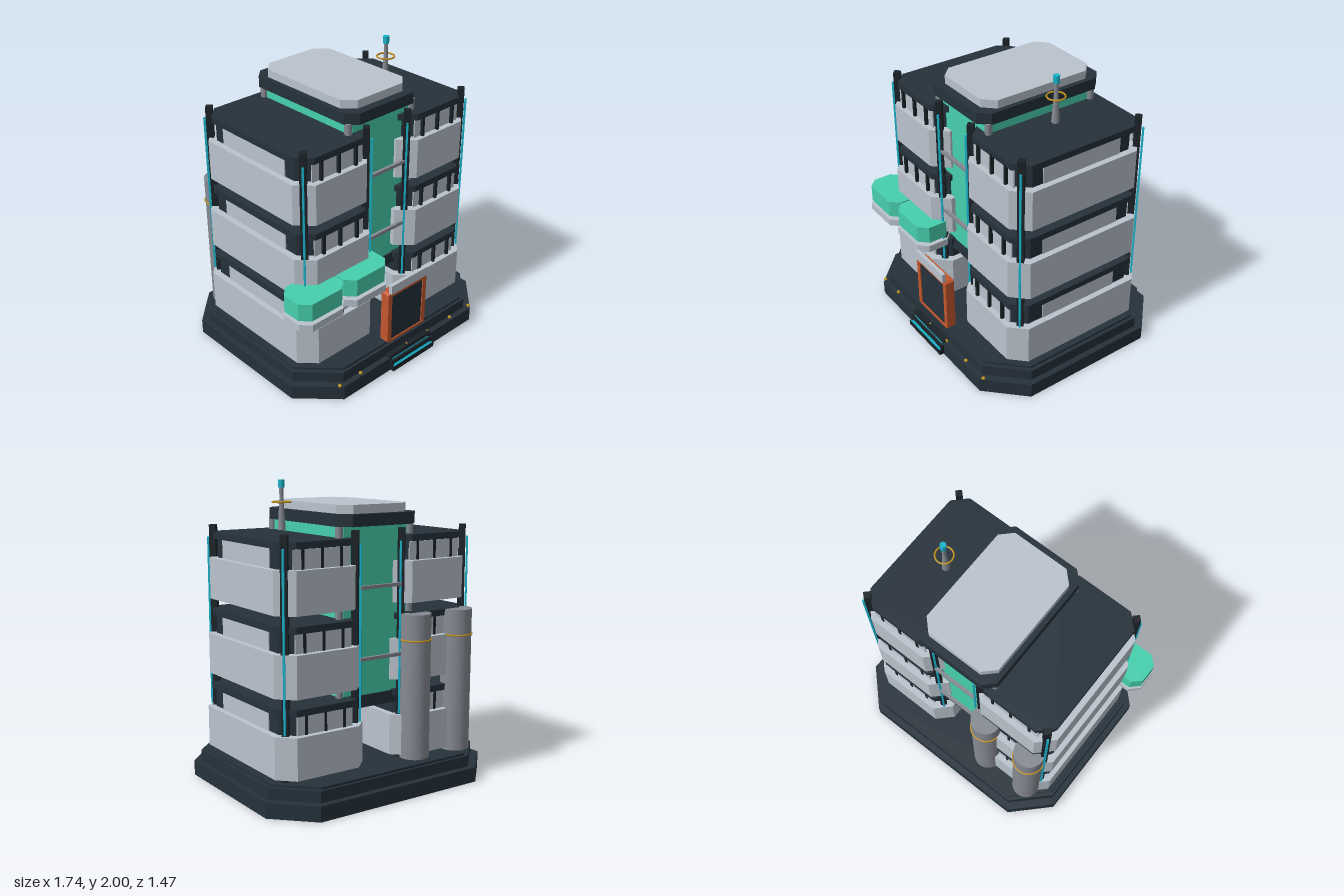
import * as THREE from 'three';

const mat = (name, color) => {
  const m = new THREE.MeshStandardMaterial({ color });
  m.name = name;
  return m;
};

export function createModel() {
  const navy = mat('navy', 0x25313b);
  const charcoal = mat('charcoal', 0x1b2328);
  const light = mat('light grey', 0xbac3cd);
  const grey = mat('mid grey', 0x868a92);
  const green = mat('sea green', 0x46d0ae);
  const orange = mat('orange', 0xc4562d);
  const gold = mat('gold', 0xc2921c);
  const cyan = mat('cyan', 0x18b4cc);

  const root = new THREE.Group();
  root.name = 'building';
  const group = (name, parent = root) => {
    const g = new THREE.Group();
    g.name = name;
    parent.add(g);
    return g;
  };
  const add = (name, geo, material, x, y, z, parent = root) => {
    const m = new THREE.Mesh(geo, material);
    m.name = name;
    m.position.set(x, y, z);
    parent.add(m);
    return m;
  };
  // box given by its limits
  const box = (name, material, x0, x1, y0, y1, z0, z1, parent) =>
    add(name, new THREE.BoxGeometry(x1 - x0, y1 - y0, z1 - z0), material,
      (x0 + x1) / 2, (y0 + y1) / 2, (z0 + z1) / 2, parent);
  const cyl = (name, material, r0, r1, y0, y1, x, z, sides, parent) =>
    add(name, new THREE.CylinderGeometry(r1, r0, y1 - y0, sides), material, x, (y0 + y1) / 2, z, parent);
  // upright prism with four cut corners
  const prism = (name, material, x0, x1, y0, y1, z0, z1, c, parent) => {
    const s = new THREE.Shape([
      [x0 + c, -z1], [x1 - c, -z1], [x1, -z1 + c], [x1, -z0 - c],
      [x1 - c, -z0], [x0 + c, -z0], [x0, -z0 - c], [x0, -z1 + c],
    ].map(([x, y]) => new THREE.Vector2(x, y)));
    const g = new THREE.ExtrudeGeometry(s, { depth: y1 - y0, bevelEnabled: false });
    g.rotateX(-Math.PI / 2);
    return add(name, g, material, 0, y0, 0, parent);
  };
  const ring = (name, r, x, y, z, parent) => {
    const g = new THREE.TorusGeometry(r, 0.006, 6, 24);
    g.rotateX(Math.PI / 2);
    return add(name, g, gold, x, y, z, parent);
  };

  // stepped base
  const base = group('base');
  prism('baseLower', navy, -0.85, 0.87, 0, 0.1, -0.735, 0.70, 0.24, base);
  prism('baseMiddle', navy, -0.81, 0.83, 0.1, 0.175, -0.69, 0.66, 0.23, base);
  prism('baseTop', navy, -0.785, 0.805, 0.175, 0.19, -0.67, 0.64, 0.225, base);

  // entrance steps with lit edges
  const steps = group('steps');
  for (let i = 0; i < 3; i++) {
    const y = 0.01 + i * 0.035, z = 0.735 - i * 0.018;
    box('step', charcoal, -0.19, 0.205, y, y + 0.035, 0.6, z, steps);
    if (i) box('stepLight', cyan, -0.17, 0.185, y + 0.002, y + 0.009, z, z + 0.004, steps);
  }
  box('stepLight', cyan, -0.18, 0.195, 0.045, 0.049, 0.722, 0.732, steps);
  for (const x of [-0.625, -0.44, -0.005, 0.2, 0.437, 0.64])
    add('baseLamp', new THREE.SphereGeometry(0.013, 8, 6), gold, x, 0.105, 0.675, base);

  // central core
  const core = group('core');
  prism('coreFloor', navy, -0.27, 0.29, 0.56, 0.64, -0.44, 0.38, 0.05, core);
  prism('coreGlass', green, -0.265, 0.285, 0.63, 1.73, -0.43, 0.37, 0.03, core);
  for (const x of [-0.265, 0.285])
    for (const z of [-0.425, 0.365])
      cyl('corePost', grey, 0.024, 0.024, 0.64, 1.73, x, z, 8, core);
  prism('coreCap', navy, -0.295, 0.312, 1.725, 1.80, -0.51, 0.425, 0.07, core);
  prism('coreRoof', light, -0.262, 0.278, 1.80, 1.855, -0.46, 0.365, 0.075, core);
  for (const y of [0.89, 1.345])
    for (const z of [-0.49, 0.43])
      box('crossBar', grey, -0.15, 0.17, y - 0.011, y + 0.011, z - 0.011, z + 0.011, core);

  // two wings of three floors
  const zc = -0.018;
  for (const side of [-1, 1]) {
    const cx = 0.009 + side * 0.437;
    const wing = group(side > 0 ? 'leftWing' : 'rightWing');
    for (let i = 0; i < 3; i++) {
      const y = 0.21 + i * 0.504;
      const hw = 0.329 - i * 0.01, hd = 0.532 - i * 0.015;
      const floor = group('floor', wing);
      const layer = (name, m, y0, y1, inset, c) =>
        prism(name, m, cx - hw + inset, cx + hw - inset, y + y0, y + y1,
          zc - hd + inset, zc + hd - inset, c, floor);
      layer('wallPanel', light, 0, 0.272, 0, 0.1);
      layer('windowBand', navy, 0.272, 0.395, 0.045, 0.085);
      layer('floorSlab', navy, 0.395, 0.437, 0.024, 0.09);
      // windows and mullions, front and back
      for (const f of [-1, 1]) {
        const zw = zc + f * (hd - 0.043);
        box('window', light, cx - 0.205, cx + 0.205, y + 0.272, y + 0.392, zw - 0.004, zw + 0.004, floor);
        for (const dx of [-0.14, 0, 0.14])
          box('mullion', charcoal, cx + dx - 0.009, cx + dx + 0.009, y + 0.272, y + 0.41,
            zw - 0.01, zw + 0.024, floor);
      }
      // outer side window
      const xw = cx + side * (hw - 0.043);
      box('sideWindow', light, xw - 0.004, xw + 0.004, y + 0.272, y + 0.392, zc - 0.295, zc + 0.295, floor);
    }
    // corner columns with light strips
    for (const dx of [-1, 1])
      for (const dz of [-1, 1]) {
        const x = cx + dx * 0.256, z = zc + dz * 0.445;
        add('column', new THREE.BoxGeometry(0.044, 1.51, 0.044), charcoal, x, 0.945, z, wing)
          .rotation.y = Math.PI / 4;
        add('lightStrip', new THREE.BoxGeometry(0.013, 1.13, 0.013), cyan,
          x + dx * 0.024, 1.055, z + dz * 0.024, wing).rotation.y = Math.PI / 4;
      }
  }

  // doorway
  const door = group('doorway');
  const rect = (P, x0, x1, y0, y1, c) => new P([
    [x0 + c, y0], [x1 - c, y0], [x1, y0 + c], [x1, y1 - c],
    [x1 - c, y1], [x0 + c, y1], [x0, y1 - c], [x0, y0 + c],
  ].map(([x, y]) => new THREE.Vector2(x, y)));
  const frame = rect(THREE.Shape, -0.173, 0.188, 0.187, 0.582, 0.012);
  frame.holes.push(rect(THREE.Path, -0.138, 0.154, 0.203, 0.55, 0.004));
  add('doorFrame', new THREE.ExtrudeGeometry(frame, { depth: 0.065, bevelEnabled: false }),
    orange, 0, 0, 0.59, door);
  box('doorPanel', navy, -0.14, 0.156, 0.2, 0.552, 0.6, 0.648, door);
  box('doorSign', light, -0.16, 0.172, 0.58, 0.645, 0.642, 0.668, door);

  // hanging pods at the front
  for (const x of [-0.687, -0.313]) {
    const pod = group('pod');
    prism('podTray', light, x - 0.187, x + 0.187, 0.612, 0.662, 0.375, 0.638, 0.06, pod);
    prism('podBody', green, x - 0.182, x + 0.182, 0.685, 0.806, 0.38, 0.63, 0.06, pod);
    for (const dx of [-0.08, 0.08])
      cyl('podStem', grey, 0.012, 0.012, 0.655, 0.69, x + dx, 0.5, 8, pod);
    box('podBracket', charcoal, x - 0.012, x + 0.012, 0.59, 0.614, 0.38, 0.54, pod);
  }

  // tanks at the back
  for (const x of [-0.605, -0.255]) {
    const tank = group('tank');
    cyl('tankBody', grey, 0.101, 0.101, 0.19, 1.15, x, -0.515, 24, tank);
    ring('tankRing', 0.104, x, 0.98, -0.515, tank);
  }

  // rooftop mast
  const mast = group('mast');
  cyl('mastCone', grey, 0.026, 0.013, 1.685, 1.89, 0.445, -0.018, 10, mast);
  cyl('mastNeck', grey, 0.013, 0.015, 1.89, 1.95, 0.445, -0.018, 10, mast);
  cyl('mastLight', cyan, 0.021, 0.021, 1.95, 2.0, 0.445, -0.018, 10, mast);
  ring('mastRing', 0.058, 0.445, 1.86, -0.018, mast);
  return root;
}
